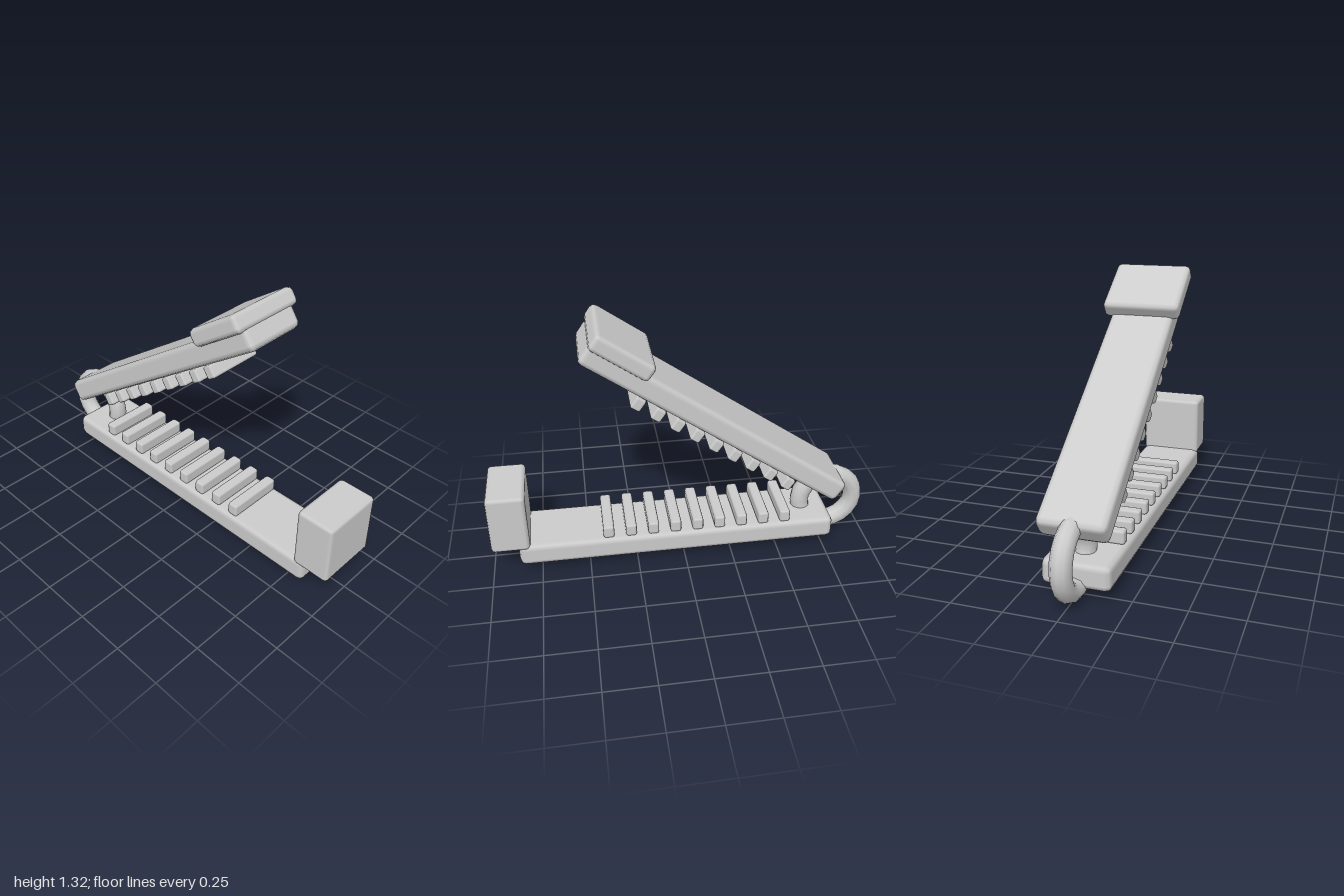
import * as THREE from 'three';
import { RoundedBoxGeometry } from 'three/addons/geometries/RoundedBoxGeometry.js';

const material = new THREE.MeshStandardMaterial({ color: 0xcccccc });

// Softly bevelled block, placed by its centre
function block(name, w, h, d, bevel, x, y, parent) {
  const mesh = new THREE.Mesh(new RoundedBoxGeometry(w, h, d, 1, bevel), material);
  mesh.name = name;
  mesh.position.set(x, y, 0);
  parent.add(mesh);
  return mesh;
}

// Row of nine cross ridges along an arm
function teeth(name, firstX, step, y, parent) {
  const row = new THREE.Group();
  row.name = name;
  for (let i = 0; i < 9; i++) {
    block('tooth', 0.056, 0.068, 0.3, 0.012, firstX + i * step, y, row);
  }
  parent.add(row);
}

export function createModel() {
  const model = new THREE.Group();
  model.name = 'hingedClip';

  // Hinge ring joining the two arms
  const ring = new THREE.Mesh(new THREE.TorusGeometry(0.15, 0.05, 10, 20), material);
  ring.name = 'hingeRing';
  ring.position.set(-0.8, 0.2, 0);
  model.add(ring);

  // Lower arm with its teeth and upright catch
  const lower = new THREE.Group();
  lower.name = 'lowerArm';
  block('lowerBar', 1.66, 0.122, 0.33, 0.03, 0.03, 0.105, lower);
  teeth('lowerTeeth', -0.535, 0.1165, 0.198, lower);
  block('catchBlock', 0.196, 0.325, 0.33, 0.02, 0.899, 0.307, lower);
  model.add(lower);

  // Upper arm, swung open, with its teeth and thumb pad
  const upper = new THREE.Group();
  upper.name = 'upperArm';
  upper.position.set(-0.179, 0.772, 0);
  upper.rotation.z = THREE.MathUtils.degToRad(35);
  block('upperBar', 1.58, 0.122, 0.33, 0.03, 0, 0, upper);
  teeth('upperTeeth', -0.505, 0.1163, -0.096, upper);
  block('thumbPad', 0.33, 0.09, 0.4, 0.025, 0.631, 0.08, upper);
  model.add(upper);

  return model;
}
